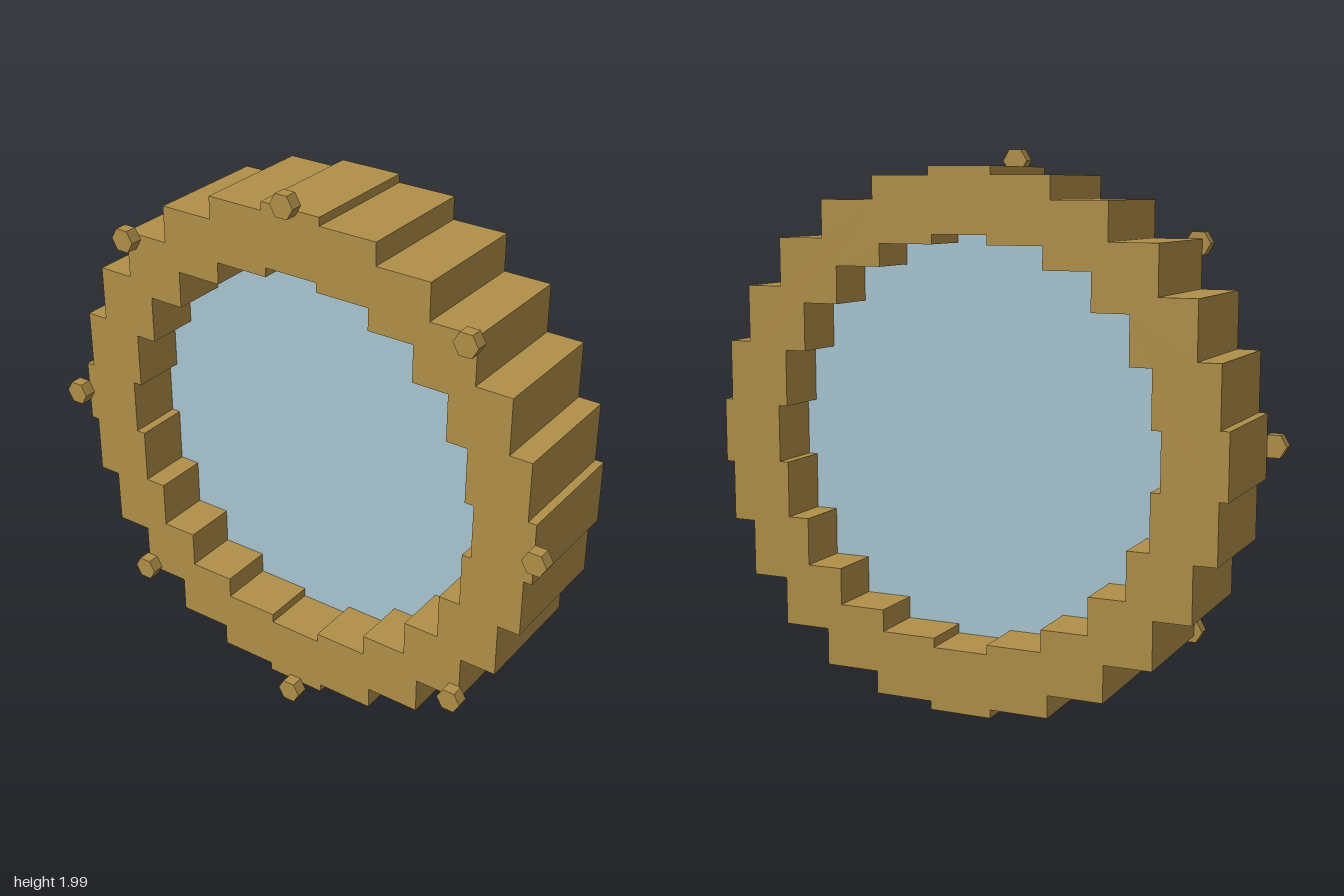
import * as THREE from 'three';

const CENTER_Y = 0.994;
const BACK = -0.25, FRONT = 0.205, BOLT_FRONT = 0.25;

// Stepped circle outline; each step is [half-width, height], from the top round to the side
function steppedOutline(steps) {
  const quarter = [];
  steps.forEach(([x, y], i) => {
    if (i > 0) quarter.push([steps[i - 1][0], y]);
    quarter.push([x, y]);
  });
  const points = [];
  for (let k = 0; k < 4; k++) {
    for (const [x, y] of quarter) {
      // turn the quarter clockwise by k right angles
      const turned = [[x, y], [y, -x], [-x, -y], [-y, x]][k];
      points.push(new THREE.Vector2(...turned));
    }
  }
  return points.reverse();
}

function extrude(shape, z0, z1) {
  return new THREE.ExtrudeGeometry(shape, { depth: z1 - z0, bevelEnabled: false })
    .translate(0, CENTER_Y, z0);
}

export function createModel() {
  const group = new THREE.Group();
  const brass = new THREE.MeshStandardMaterial({ color: 0xb08f48, flatShading: true });
  const glass = new THREE.MeshStandardMaterial({ color: 0xa8c6d2, flatShading: true });

  const add = (name, geometry, material) => {
    const mesh = new THREE.Mesh(geometry, material);
    mesh.name = name;
    group.add(mesh);
    return mesh;
  };

  const outer = steppedOutline([
    [0.113, 0.932], [0.324, 0.902], [0.522, 0.822], [0.691, 0.691],
    [0.822, 0.522], [0.902, 0.324], [0.932, 0.113],
  ]);
  const inner = steppedOutline([
    [0.1, 0.708], [0.298, 0.675], [0.466, 0.597],
    [0.597, 0.466], [0.675, 0.298], [0.708, 0.1],
  ]);

  // Thick stepped frame with a stepped opening
  const ring = new THREE.Shape(outer);
  ring.holes.push(new THREE.Path(inner));
  add('frame', extrude(ring, BACK, FRONT), brass);

  // Pane set midway through the frame
  add('windowPane', extrude(new THREE.Shape(inner), -0.05, 0.005), glass);

  // Eight hexagonal bolts on the front rim
  const depth = BOLT_FRONT - FRONT;
  const boltGeometry = new THREE.CylinderGeometry(0.045, 0.045, depth, 6)
    .rotateY(Math.PI / 2)
    .rotateX(Math.PI / 2);
  for (let i = 0; i < 8; i++) {
    const a = (i * Math.PI) / 4;
    const bolt = add(`bolt${i + 1}`, boltGeometry, brass);
    bolt.position.set(0.955 * Math.cos(a), CENTER_Y + 0.955 * Math.sin(a), FRONT + depth / 2);
  }

  return group;
}
